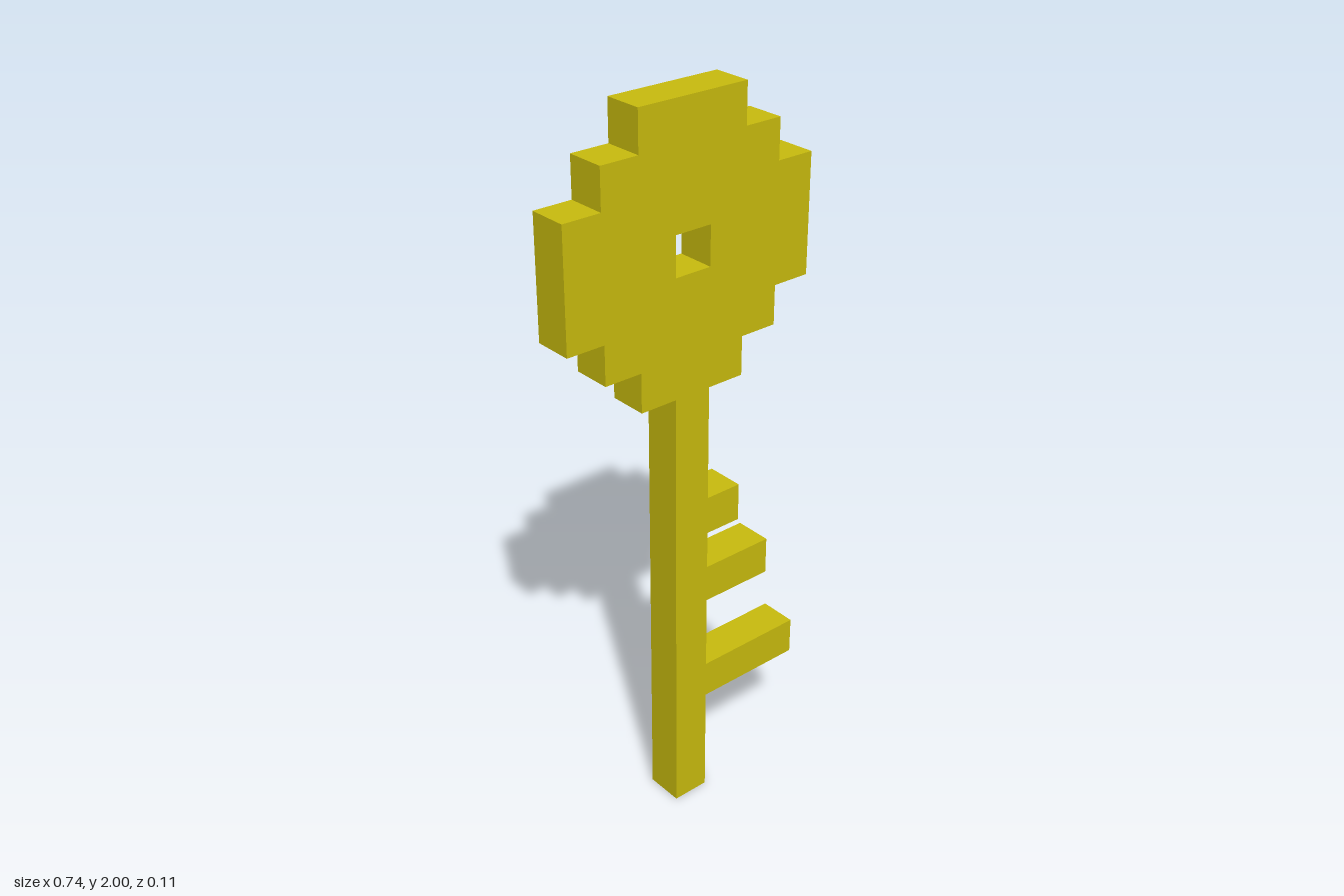
import * as THREE from 'three';

const U = 2 / 19; // one block of the pixel grid; the key is 19 blocks tall

export function createModel() {
  const key = new THREE.Group();
  key.name = 'key';
  const gold = new THREE.MeshStandardMaterial({ color: 0xcabd0e });
  gold.name = 'gold';

  const add = (name, geometry, x, y, z = 0) => {
    const mesh = new THREE.Mesh(geometry, gold);
    mesh.name = name;
    mesh.position.set(x * U, y * U, z * U);
    key.add(mesh);
  };

  // Bow: stepped round plate, seven blocks wide, with a square hole
  const quarter = [[3.5, 1.5], [2.5, 1.5], [2.5, 2.5], [1.5, 2.5], [1.5, 3.5]];
  const outline = [];
  for (let i = 0; i < 4; i++) {
    for (const [x, y] of quarter) {
      const p = new THREE.Vector2(x, y);
      for (let k = 0; k < i; k++) p.set(-p.y, p.x);
      outline.push(p.multiplyScalar(U));
    }
  }
  const bow = new THREE.Shape(outline);
  const h = U / 2;
  bow.holes.push(new THREE.Path([[-h, -h], [-h, h], [h, h], [h, -h]].map(([x, y]) => new THREE.Vector2(x, y))));
  add('bow', new THREE.ExtrudeGeometry(bow, { depth: U, bevelEnabled: false }), 0, 15.5, -0.5);

  // Shaft: square bar from the tip to the bow
  add('shaft', new THREE.BoxGeometry(U, 12 * U, U), 0, 6);

  // Teeth: bars on the left side, longer towards the tip
  [['upperTooth', 1, 8.5], ['middleTooth', 2, 6.5], ['lowerTooth', 3, 3.5]].forEach(([name, length, y]) =>
    add(name, new THREE.BoxGeometry(length * U, U, U), 0.5 + length / 2, y));

  return key;
}
